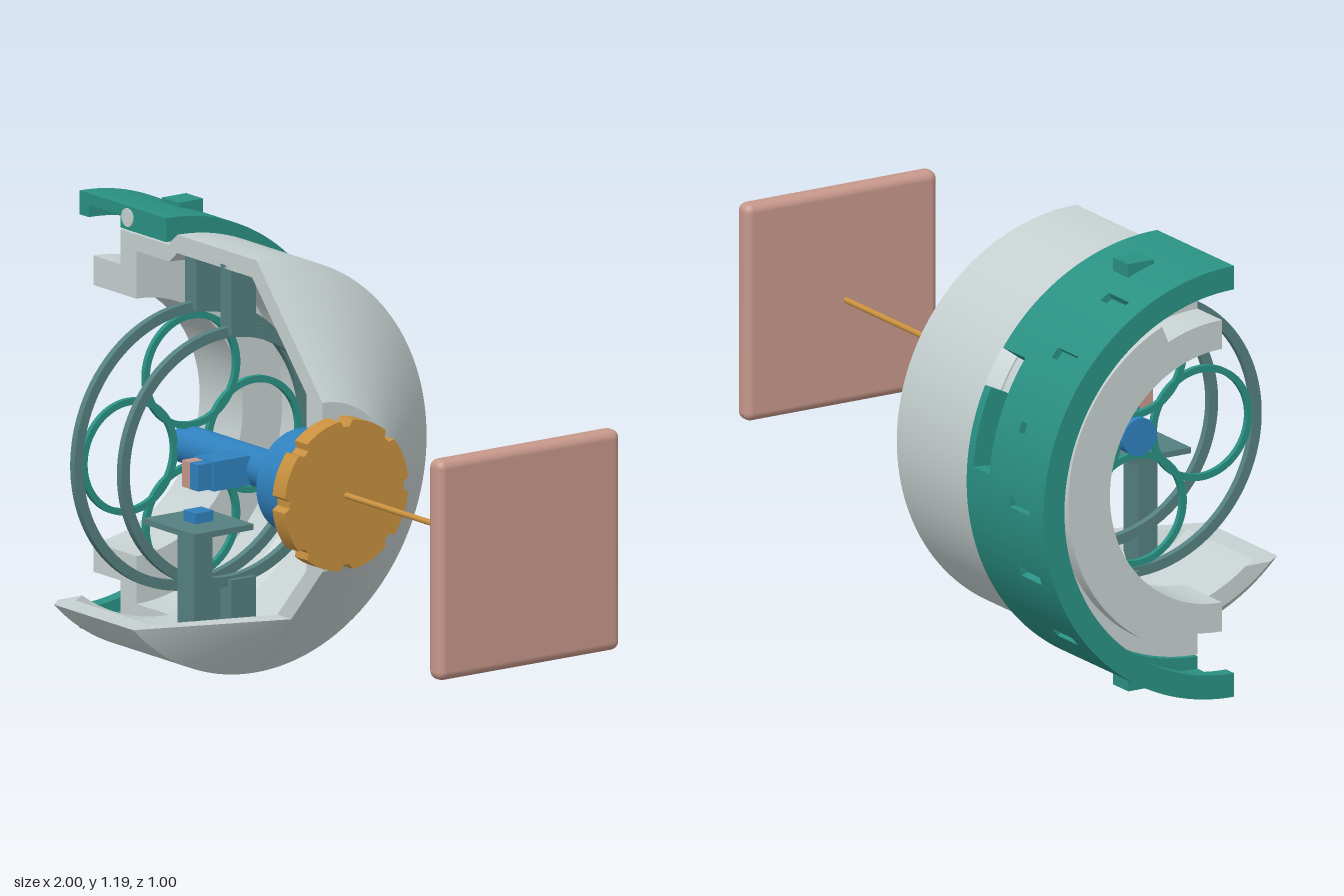
import * as THREE from 'three';
import { toCreasedNormals } from 'three/addons/utils/BufferGeometryUtils.js';
import { RoundedBoxGeometry } from 'three/addons/geometries/RoundedBoxGeometry.js';

const CY = 0.6, CZ = 0.09; // main axis runs along x
const polar = (x, r, t) => [x, CY + r * Math.cos(t), CZ - r * Math.sin(t)];

const mat = (name, color) => {
  const m = new THREE.MeshStandardMaterial({ color });
  m.name = name;
  return m;
};

function fromTriangles(pos) {
  const g = new THREE.BufferGeometry();
  g.setAttribute('position', new THREE.Float32BufferAttribute(pos, 3));
  return toCreasedNormals(g, 0.4);
}

// Closed (x, r) profile swept from angle t0 to t1(r), capped at both ends
function sector(profile, t0, t1, seg) {
  const pos = [], n = profile.length;
  const at = (i, j) => {
    const [x, r] = profile[i % n];
    return polar(x, r, t0 + (t1(r) - t0) * j / seg);
  };
  for (let i = 0; i < n; i++) for (let j = 0; j < seg; j++) {
    const a = at(i, j), b = at(i, j + 1), c = at(i + 1, j + 1), d = at(i + 1, j);
    pos.push(...a, ...b, ...c, ...a, ...c, ...d);
  }
  const tris = THREE.ShapeUtils.triangulateShape(profile.map(p => new THREE.Vector2(...p)), []);
  for (const [a, b, c] of tris) {
    pos.push(...at(a, 0), ...at(b, 0), ...at(c, 0));
    pos.push(...at(a, seg), ...at(c, seg), ...at(b, seg));
  }
  return fromTriangles(pos);
}

// Half ring made of cells; cell(x, degrees) gives [inner, outer] radius or null
function cellRing(xs, seg, cell) {
  const pos = [], step = Math.PI / seg;
  const quad = (a, b, c, d) => pos.push(...a, ...b, ...c, ...a, ...c, ...d);
  const get = (i, j) => i < 0 || j < 0 || i >= xs.length - 1 || j >= seg ? null
    : cell((xs[i] + xs[i + 1]) / 2, (j + 0.5) * 180 / seg);
  const exposed = (c, n) => !n ? [c]
    : [[n[1], c[1]], [c[0], n[0]]].filter(([a, b]) => b > a + 1e-6);
  for (let i = 0; i < xs.length - 1; i++) for (let j = 0; j < seg; j++) {
    const c = get(i, j);
    if (!c) continue;
    const [x0, x1, t0, t1] = [xs[i], xs[i + 1], j * step, (j + 1) * step];
    const [lo, hi] = c;
    quad(polar(x0, hi, t0), polar(x1, hi, t0), polar(x1, hi, t1), polar(x0, hi, t1));
    quad(polar(x0, lo, t0), polar(x0, lo, t1), polar(x1, lo, t1), polar(x1, lo, t0));
    for (const [a, b] of exposed(c, get(i + 1, j)))
      quad(polar(x1, a, t0), polar(x1, a, t1), polar(x1, b, t1), polar(x1, b, t0));
    for (const [a, b] of exposed(c, get(i - 1, j)))
      quad(polar(x0, a, t0), polar(x0, b, t0), polar(x0, b, t1), polar(x0, a, t1));
    for (const [a, b] of exposed(c, get(i, j + 1)))
      quad(polar(x0, a, t1), polar(x0, b, t1), polar(x1, b, t1), polar(x1, a, t1));
    for (const [a, b] of exposed(c, get(i, j - 1)))
      quad(polar(x0, a, t0), polar(x1, a, t0), polar(x1, b, t0), polar(x0, b, t0));
  }
  return fromTriangles(pos);
}

export function createModel() {
  const group = new THREE.Group();
  const grey = mat('shell grey', 0xc6d0d0), teal = mat('collar teal', 0x2a9184);
  const slate = mat('frame slate', 0x568080), blue = mat('shaft blue', 0x2f81bf);
  const orange = mat('knob orange', 0xc8913f), pink = mat('plate pink', 0xc6978a);

  const add = (name, geo, m) => {
    const mesh = new THREE.Mesh(geo, m);
    mesh.name = name;
    group.add(mesh);
    return mesh;
  };
  const box = (name, m, x0, x1, y0, y1, z0, z1) =>
    add(name, new THREE.BoxGeometry(x1 - x0, y1 - y0, z1 - z0), m)
      .position.set((x0 + x1) / 2, (y0 + y1) / 2, (z0 + z1) / 2);
  const rod = (name, m, x0, x1, r) => {
    const g = new THREE.CylinderGeometry(r, r, x1 - x0, 40).rotateZ(Math.PI / 2);
    add(name, g, m).position.set((x0 + x1) / 2, CY, CZ);
  };

  // Rear half of the shell, with neck, sleeve, barrel and cone
  add('rearShell', sector([
    [-0.94, 0.35], [-0.75, 0.35], [-0.75, 0.48], [-0.605, 0.48], [-0.57, 0.51], [-0.24, 0.51],
    [0, 0.24], [0, 0.15], [0.07, 0.15], [0.07, 0.23], [-0.22, 0.56], [-0.57, 0.56],
    [-0.605, 0.53], [-0.605, 0.525], [-0.82, 0.525], [-0.82, 0.43], [-0.94, 0.43],
  ], 0, () => Math.PI, 72), grey);
  // Lower front of the shell, cut level
  add('lowerFrontShell', sector([
    [-0.605, 0.48], [-0.57, 0.51], [-0.24, 0.51], [-0.129, 0.385],
    [-0.066, 0.385], [-0.22, 0.56], [-0.57, 0.56], [-0.605, 0.53],
  ], Math.PI, r => Math.PI + Math.acos(Math.min(1, 0.385 / r)), 24), grey);
  // Flange behind the neck
  add('neckFlange', sector([[-0.94, 0.43], [-0.89, 0.43], [-0.89, 0.48], [-0.94, 0.48]],
    0.4, () => Math.PI - 0.4, 48), grey);

  // Collar with pockets, a bayonet slot and a stepped bore
  add('collar', cellRing([-1, -0.96, -0.93, -0.83, -0.82, -0.73, -0.65, -0.62], 120, (x, deg) => {
    if (x > -0.73 && x < -0.65 && deg > 54 && deg < 85.5) return null;
    if (x > -0.65 && deg > 54 && deg < 64.5) return null;
    const lo = x < -0.96 || x > -0.82 ? 0.53 : 0.565;
    const off = (deg + 10) % 20 - 10;
    const pocket = x > -0.93 && x < -0.83 && deg > 20 && deg < 160 && Math.abs(off - Math.sign(off) * 10) < 1.5;
    return [lo, pocket ? 0.575 : 0.595];
  }), teal);
  for (const s of [1, -1]) {
    const y = CY + s * 0.56;
    box('collarLug', teal, -0.825, -0.75, y - 0.03, y + 0.03, -0.13, -0.05);
    const pin = add('pinHole', new THREE.CylinderGeometry(0.025, 0.025, 0.008, 24).rotateX(Math.PI / 2), grey);
    pin.position.set(-0.787, CY + s * 0.564, CZ);
  }

  // Shaft, hub, knob and needle
  rod('shaft', blue, -0.535, -0.03, 0.052);
  rod('hub', blue, -0.03, 0.125, 0.143);
  const knob = new THREE.Shape(Array.from({ length: 128 }, (_, i) => {
    const a = i / 128 * Math.PI * 2, r = Math.cos(8 * a) > 0.75 ? 0.187 : 0.204;
    return new THREE.Vector2(r * Math.cos(a), r * Math.sin(a));
  }));
  add('knob', toCreasedNormals(new THREE.ExtrudeGeometry(knob, { depth: 0.055, bevelEnabled: false })
    .rotateY(Math.PI / 2), 0.4), orange).position.set(0.122, CY, CZ);
  rod('needle', orange, 0.17, 0.915, 0.008);

  // Target plate
  add('targetPlate', new RoundedBoxGeometry(0.058, 0.6, 0.6, 4, 0.024), pink).position.set(0.97, CY, 0.097);

  // Flat rings hung inside the shell
  const flatRing = (name, m, x, y, z, r0, r1, w) => {
    const s = new THREE.Shape().absarc(0, 0, r1, 0, Math.PI * 2);
    s.holes.push(new THREE.Path().absarc(0, 0, r0, 0, Math.PI * 2, true));
    const g = new THREE.ExtrudeGeometry(s, { depth: w, bevelEnabled: false, curveSegments: 64 });
    add(name, toCreasedNormals(g.rotateY(Math.PI / 2), 0.4), m).position.set(x - w / 2, y, z);
  };
  for (const [x, r] of [[-0.51, 0.39], [-0.355, 0.352]]) {
    flatRing('hangingRing', slate, x, CY, CZ, r - 0.028, r, 0.02);
    box('upperRingMount', slate, x - 0.025, x + 0.025, CY + r - 0.02, 1.12, 0.01, CZ);
    box('lowerRingMount', slate, x - 0.025, x + 0.025, 0.08, CY - r + 0.02, 0.01, CZ);
  }
  // Loops around the shaft
  for (let i = 0; i < 4; i++) {
    const a = i * Math.PI / 2;
    flatRing('loop', teal, -0.51, CY + 0.205 * Math.cos(a), CZ + 0.205 * Math.sin(a), 0.14, 0.158, 0.014);
  }

  // Stand with shelf, and the clamp on the shaft
  box('stand', slate, -0.275, -0.2, 0.13, 0.462, 0.25, 0.31);
  box('shelf', slate, -0.345, -0.12, 0.46, 0.476, 0.175, 0.37);
  box('shelfButton', blue, -0.262, -0.208, 0.476, 0.505, 0.24, 0.3);
  box('clampArm', blue, -0.28, -0.195, 0.56, 0.64, 0.13, 0.25);
  box('clampPad', pink, -0.275, -0.24, 0.565, 0.637, 0.25, 0.295);
  box('clampJaw', blue, -0.24, -0.203, 0.565, 0.637, 0.25, 0.295);
  return group;
}
